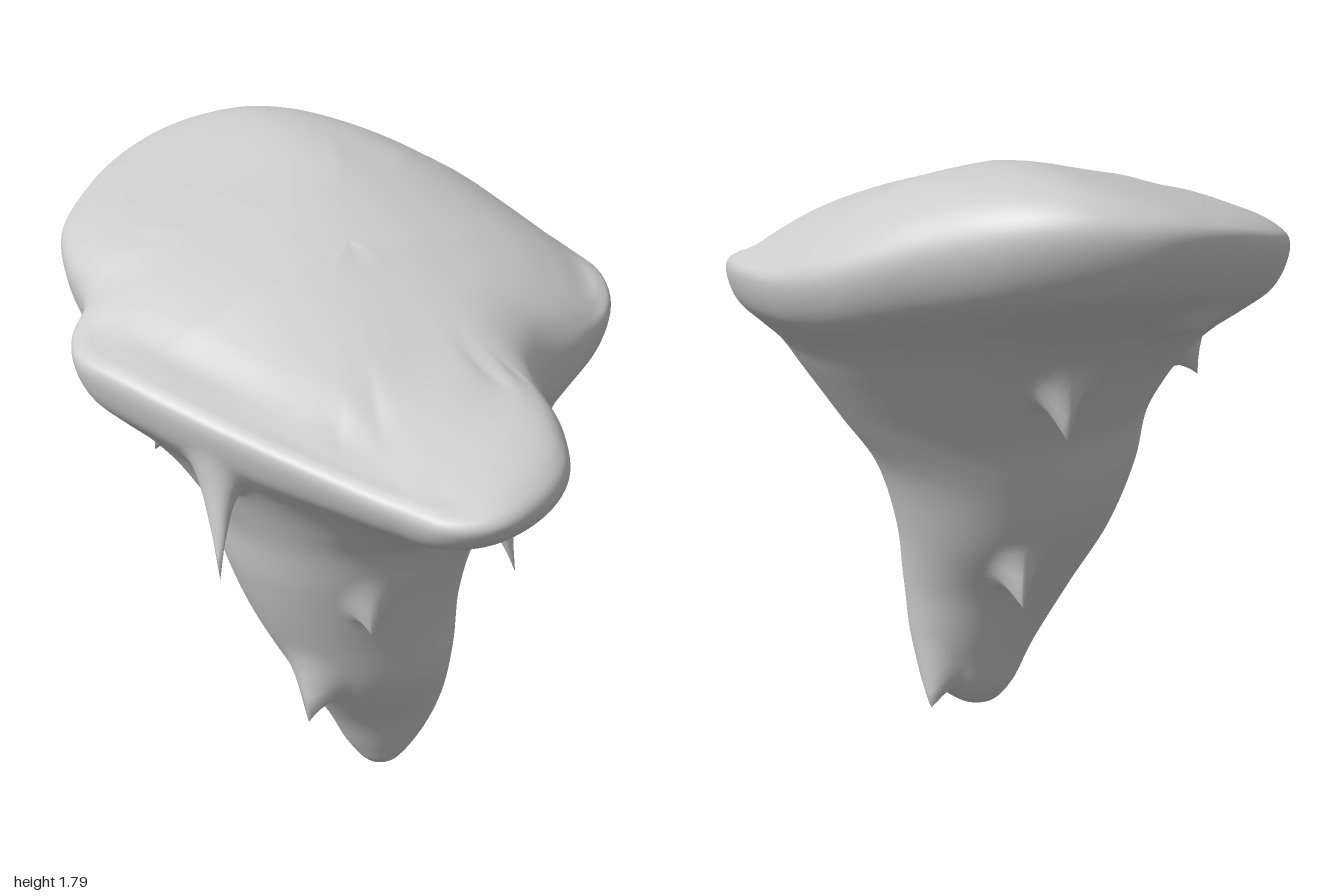
import * as THREE from 'three';

const { lerp, clamp, smoothstep } = THREE.MathUtils;
const V = (x, y, z) => new THREE.Vector3(x, y, z);

// Rim of the cap, clockwise from the back: x, height, z
const RIM = [
  [-0.15, 1.66, -1], [0.03, 1.66, -0.98], [0.21, 1.64, -0.9], [0.42, 1.58, -0.725], [0.62, 1.5, -0.52],
  [0.73, 1.46, -0.32], [0.78, 1.44, -0.1], [0.785, 1.43, 0.06], [0.73, 1.4, 0.19], [0.6, 1.36, 0.275],
  [0.45, 1.33, 0.33], [0.36, 1.32, 0.42], [0.31, 1.33, 0.55], [0.26, 1.34, 0.73], [0.18, 1.34, 0.88],
  [0.05, 1.33, 0.97], [-0.1, 1.32, 1], [-0.22, 1.31, 0.94], [-0.3, 1.31, 0.8], [-0.42, 1.33, 0.58],
  [-0.6, 1.38, 0.29], [-0.74, 1.42, 0.02], [-0.795, 1.43, -0.15], [-0.76, 1.45, -0.27], [-0.68, 1.47, -0.37],
  [-0.66, 1.52, -0.55], [-0.61, 1.56, -0.7], [-0.49, 1.6, -0.83], [-0.33, 1.64, -0.94],
];

// Stem sections: y, x min, x max, z min, z max
const STEM = [
  [0, 0.01, 0.03, 0.12, 0.14], [0.015, -0.03, 0.08, 0.07, 0.17], [0.08, -0.08, 0.16, 0.01, 0.2],
  [0.2, -0.14, 0.225, -0.03, 0.24], [0.4, -0.26, 0.25, -0.11, 0.33], [0.6, -0.36, 0.28, -0.23, 0.37],
  [0.8, -0.43, 0.345, -0.31, 0.42], [0.95, -0.46, 0.45, -0.36, 0.47],
];

// Flare from stem to rim: outward share, upward share
const FLARE = [[0.15, 0.2], [0.31, 0.37], [0.51, 0.53], [0.71, 0.65], [0.89, 0.77], [0.97, 0.88], [1, 0.99]];
// Rounded shoulder and upper face: distance from centre, share of full height
const CROWN = [[0.99, 0.3], [0.957, 0.58], [0.9, 0.8], [0.8, 0.94], [0.65, 1], [0.45, 1], [0.25, 1], [0.1, 1], [0, 1]];

// Height of the upper face: rises to the back, falls to both sides, front lip tilted
const SLOPE = [[1, 1.41], [0.8, 1.43], [0.5, 1.47], [0.2, 1.59], [0, 1.67], [-0.4, 1.775], [-0.6, 1.79], [-1, 1.795]];
function topHeight(x, z) {
  let k = 0;
  while (k < SLOPE.length - 2 && z < SLOPE[k + 1][0]) k++;
  const [z0, y0] = SLOPE[k], [z1, y1] = SLOPE[k + 1];
  const y = lerp(y0, y1, clamp((z - z0) / (z1 - z0), 0, 1));
  const d = x - 0.1, front = smoothstep(z, -0.6, 0.1);
  const fall = d > 0
    ? lerp(0.65, 0.42, front) * d * d
    : lerp(0.27 * (Math.hypot(d, 0.1) - 0.1), 0.38 * d * d, front);
  return y - fall + 0.12 * x * smoothstep(z, 0.4, 0.8);
}

// One vertical profile, from the stem tip over the rim to the crown centre
function profile(rim) {
  const a = Math.atan2(rim.z + 0.03, rim.x);
  const c = Math.cos(a), s = Math.sin(a);
  // The stem is round, a little flatter on its front left corner
  const e = 2.1 - 0.6 * Math.max(0, c) * Math.max(0, s);
  const r = Math.pow(Math.abs(c) ** e + Math.abs(s) ** e, -1 / e);
  const pts = STEM.map(([y, x0, x1, z0, z1]) =>
    V((x0 + x1) / 2 + (x1 - x0) / 2 * r * c, y, (z0 + z1) / 2 + (z1 - z0) / 2 * r * s));
  const base = pts[pts.length - 1];
  for (const [share, up] of FLARE) {
    const out = lerp(share, Math.max(share, up), Math.max(0, c));
    pts.push(V(lerp(base.x, rim.x, out), lerp(base.y, rim.y, up), lerp(base.z, rim.z, out)));
  }
  for (const [f, g] of CROWN) {
    const x = rim.x * f, z = -0.05 + (rim.z + 0.05) * f;
    const top = topHeight(x, z);
    const y = top + Math.max(0, rim.y + 0.06 - top) * smoothstep(f, 0.6, 0.95);
    pts.push(V(x, lerp(rim.y, y, g), z));
  }
  return new THREE.CatmullRomCurve3(pts, false, 'centripetal');
}

// Drips pulled out of the surface: root, tip, reach, sharpness
const DRIPS = [
  [[0.22, 1.05, 0.47], [0.24, 0.83, 0.52], 0.14, 2.5], // front left
  [[-0.17, 0.77, 0.41], [-0.17, 0.68, 0.43], 0.1, 1.8], // front
  [[-0.58, 1.2, 0.24], [-0.61, 0.96, 0.37], 0.13, 2.5], // right front
  [[-0.51, 1.17, -0.19], [-0.55, 1.07, -0.2], 0.1, 1.8], // right back
  [[-0.03, 1.15, -0.49], [-0.03, 1, -0.555], 0.13, 2.2], // back
  [[0, 0.51, -0.19], [0, 0.42, -0.26], 0.1, 1.8], // low back
  [[-0.25, 0.41, 0.22], [-0.28, 0.3, 0.24], 0.13, 1.6], // low right
  [[0.19, 0.14, 0.06], [0.2, 0.035, 0.02], 0.12, 1.3], // foot
  [[-0.34, 1.4, -0.67], [-0.34, 1.335, -0.73], 0.14, 1], // lump under the back
];

// Drag the surface around each root towards its tip
function pullDrips(points) {
  for (const [root, tip, reach, sharpness] of DRIPS) {
    const from = V(...root);
    const centre = points.reduce((a, b) => (b.distanceToSquared(from) < a.distanceToSquared(from) ? b : a)).clone();
    const pull = V(...tip).sub(centre);
    for (const p of points) {
      const d = p.distanceTo(centre) / reach;
      if (d < 1) p.addScaledVector(pull, (1 - d * d) * Math.pow(1 - d, sharpness));
    }
  }
}

function bodyGeometry(cols = 240, rows = 150) {
  const rim = new THREE.CatmullRomCurve3(RIM.map(p => V(...p)), true, 'centripetal');
  const points = [], index = [];
  for (let i = 0; i < cols; i++) points.push(...profile(rim.getPointAt(i / cols)).getPoints(rows));
  pullDrips(points);
  const n = rows + 1;
  for (let i = 0; i < cols; i++) {
    for (let j = 0; j < rows; j++) {
      const a = i * n + j, b = ((i + 1) % cols) * n + j;
      index.push(a, a + 1, b, b, a + 1, b + 1);
    }
  }
  const geo = new THREE.BufferGeometry().setFromPoints(points);
  geo.setIndex(index);
  geo.computeVertexNormals();
  return geo;
}

export function createModel() {
  const group = new THREE.Group();
  const body = new THREE.Mesh(bodyGeometry(), new THREE.MeshStandardMaterial({ color: 0xcccccc }));
  body.name = 'rockBody';
  group.add(body);
  return group;
}
